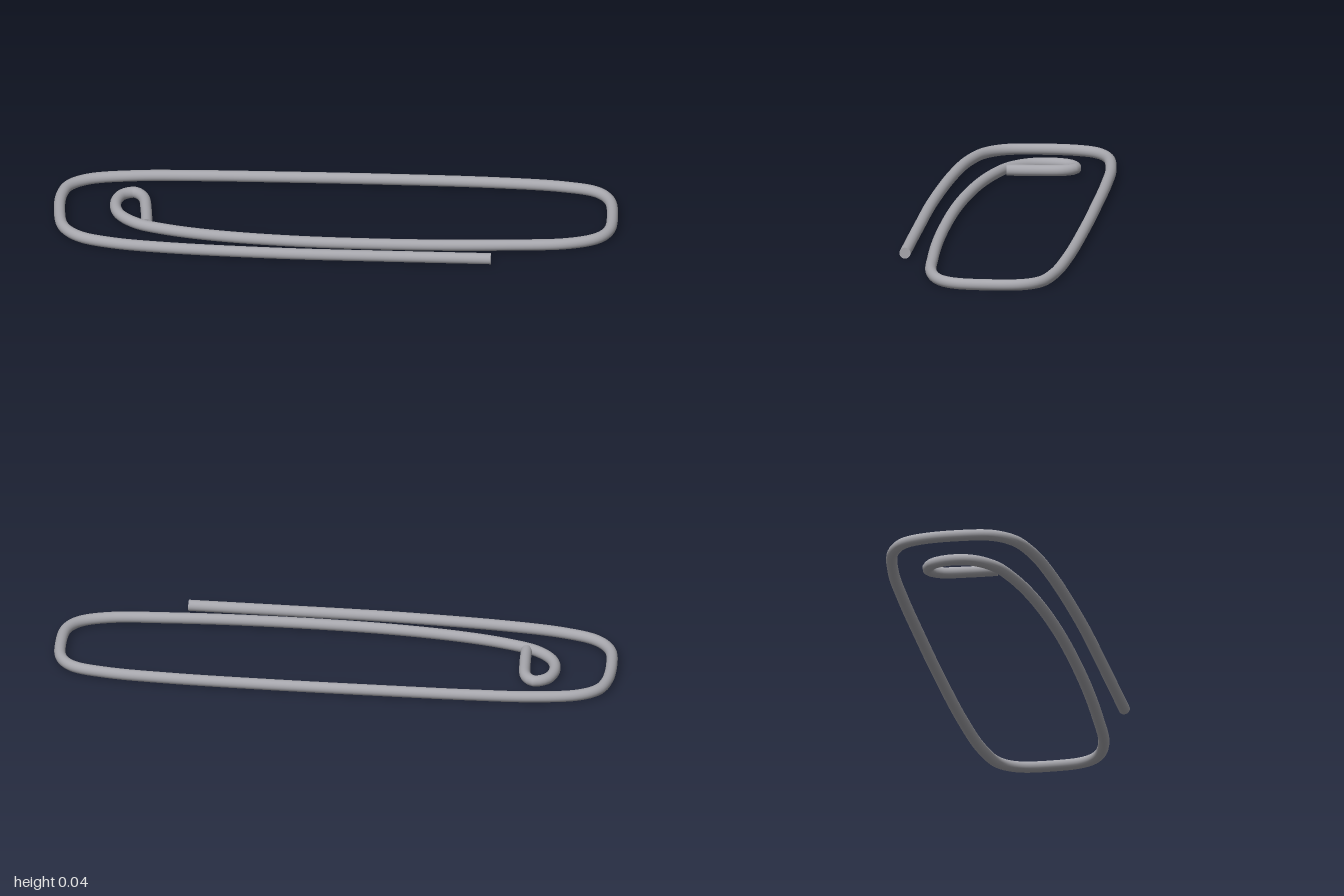
import * as THREE from 'three';

const RADIUS = 0.0215;

// Centre line of the wire as [x, z], from the free outer end to the curled inner end
const PATH = [
  [0.705, 0.012], [0.35, 0.2], [0, 0.382], [-0.4, 0.566], [-0.6, 0.638], [-0.73, 0.656],
  [-0.82, 0.62], [-0.905, 0.51], [-0.965, 0.39], [-0.977, 0.315], [-0.94, 0.235],
  [-0.8, 0.12], [-0.6, 0.0], [-0.3, -0.165], [0, -0.326], [0.4, -0.53], [0.64, -0.634],
  [0.77, -0.662], [0.845, -0.63], [0.925, -0.52], [0.973, -0.41], [0.965, -0.335],
  [0.89, -0.243], [0.7, -0.115], [0.4, 0.062], [0, 0.267], [-0.3, 0.389], [-0.48, 0.439],
  [-0.6, 0.452], [-0.695, 0.42], [-0.752, 0.35], [-0.765, 0.28], [-0.735, 0.238],
  [-0.688, 0.254], [-0.62, 0.345], [-0.563, 0.437],
];

export function createModel() {
  const group = new THREE.Group();
  group.name = 'paperClip';
  const steel = new THREE.MeshStandardMaterial({ color: 0xa6a6ac });
  steel.name = 'steelGrey';

  // Bent wire
  const curve = new THREE.CatmullRomCurve3(PATH.map(([x, z]) => new THREE.Vector3(x, RADIUS, z)));
  const wire = new THREE.Mesh(new THREE.TubeGeometry(curve, 400, RADIUS, 20, false), steel);
  wire.name = 'bentWire';
  group.add(wire);

  // Flat cut ends
  const addCap = (name, t, sign) => {
    const cap = new THREE.Mesh(new THREE.CircleGeometry(RADIUS, 20), steel);
    cap.name = name;
    const outward = curve.getTangentAt(t).multiplyScalar(sign);
    cap.position.copy(curve.getPointAt(t));
    cap.quaternion.setFromUnitVectors(new THREE.Vector3(0, 0, 1), outward);
    group.add(cap);
  };
  addCap('outerEnd', 0, -1);
  addCap('innerEnd', 1, 1);

  return group;
}
